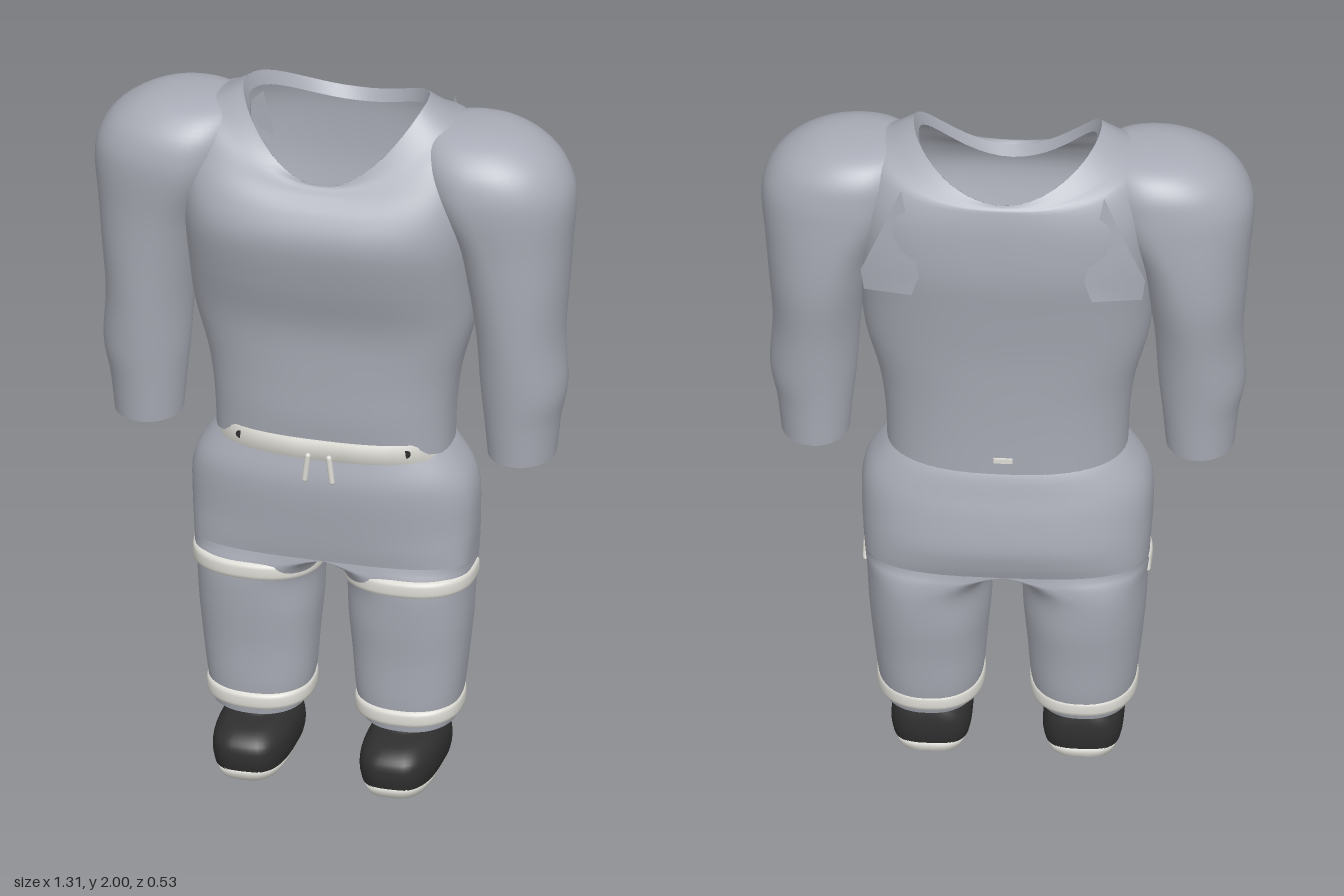
import * as THREE from 'three';

const mat = (name, color, side = THREE.DoubleSide) => {
  const m = new THREE.MeshStandardMaterial({ color, side });
  m.name = name;
  return m;
};

// Ring: [y, xInner, xCentre, xOuter, zBack, zFront, squareness, frontDrop, backDrop], listed bottom to top
function loft(rings, { steps = 4, seg = 48, from = 0, to = Math.PI * 2 } = {}) {
  const closed = to - from > 6.28;
  const cols = closed ? seg : seg + 1;
  const at = (i) => rings[Math.max(0, Math.min(rings.length - 1, i))];
  const rows = [];
  for (let i = 0; i < rings.length - 1; i++) {
    for (let s = 0; s < steps; s++) {
      const t = s / steps;
      rows.push(rings[0].map((_, k) => {
        const [a, b, c, d] = [at(i - 1)[k], at(i)[k], at(i + 1)[k], at(i + 2)[k]];
        return b + 0.5 * t * (c - a + t * (2 * a - 5 * b + 4 * c - d + t * (3 * (b - c) + d - a)));
      }));
    }
  }
  rows.push(rings[rings.length - 1]);
  const pos = [], idx = [];
  rows.forEach(([y, xi, xc, xo, zb, zf, e, df, db], r) => {
    for (let j = 0; j < cols; j++) {
      const a = from + (to - from) * j / seg, c = Math.cos(a), s = Math.sin(a);
      const px = Math.abs(c) ** e, pz = Math.abs(s) ** e;
      pos.push(
        c > 0 ? xc + (xo - xc) * px : xc - (xc - xi) * px,
        y - (s > 0 ? df : db) * s * s,
        (s > 0 ? zf : zb) * pz);
      if (r < rows.length - 1 && (closed || j < seg)) {
        const k = r * cols, n = (j + 1) % cols;
        idx.push(k + j, k + cols + j, k + n, k + n, k + cols + j, k + cols + n);
      }
    }
  });
  const g = new THREE.BufferGeometry();
  g.setAttribute('position', new THREE.Float32BufferAttribute(pos, 3));
  g.setIndex(idx);
  g.computeVertexNormals();
  return g;
}

// Ring symmetric about x = 0
const sym = (y, rx, zb, zf, e = 0.8, df = 0, db = 0) => [y, -rx, 0, rx, zb, zf, e, df, db];
// Ring around an off-centre limb
const limb = (y, xi, xo, zb, zf, e = 0.85, df = 0, db = 0) => [y, xi, (xi + xo) / 2, xo, zb, zf, e, df, db];
// Shoulder ring, widest at xc so that it runs smoothly into the chest
const shoulder = (y, xi, xc, xo, zb, zf) => [y, xi, xc, xo, zb, zf, 0.95, 0, 0];
// Raised strip of trim following a limb
const trim = (y0, y1, xi, xo, zb, zf, out, df = 0, opts = {}) => {
  const ring = (t, g) => limb(y0 + (y1 - y0) * t, xi - g, xo + g, zb - g, zf + g, 0.85, df);
  return loft([ring(0, -0.004), ring(0.1, out * 0.8), ring(0.5, out), ring(0.9, out * 0.8), ring(1, -0.004)], { steps: 2, ...opts });
};

export function createModel() {
  const root = new THREE.Group();
  root.name = 'outfit';
  const cloth = mat('grey cloth', 0xa9acb6);
  const white = mat('off-white trim', 0xdddcd5);
  const black = mat('black leather', 0x2f2f2f);
  const add = (parent, name, geo, material) => {
    const m = new THREE.Mesh(geo, material);
    m.name = name;
    parent.add(m);
    return m;
  };

  // Shirt body, open at the hem and the scooped neck
  add(root, 'shirtBody', loft([
    sym(0.982, 0.32, -0.19, 0.162, 0.8, -0.045, 0),
    sym(1.1, 0.325, -0.195, 0.17),
    sym(1.22, 0.342, -0.203, 0.175),
    sym(1.37, 0.38, -0.217, 0.188, 0.77),
    sym(1.52, 0.392, -0.24, 0.235, 0.73),
    sym(1.66, 0.4, -0.262, 0.266, 0.7),
    sym(1.8, 0.4, -0.262, 0.24, 0.7, 0.06, 0),
    sym(1.92, 0.37, -0.252, 0.205, 0.8, 0.14, 0.05),
    sym(1.955, 0.315, -0.245, 0.187, 0.92, 0.15, 0.07),
    sym(2.0, 0.25, -0.235, 0.172, 1, 0.2, 0.11),
  ], { seg: 64 }), cloth);

  // Collar facing, turned slightly inward
  add(root, 'collarFacing', loft([
    sym(1.96, 0.237, -0.215, 0.157, 1, 0.19, 0.1),
    sym(2.0, 0.25, -0.235, 0.172, 1, 0.2, 0.11),
  ], { steps: 1 }), cloth);

  // Seat of the trousers down to the crotch line
  add(root, 'trouserHips', loft([
    sym(0.66, 0.379, -0.212, 0.143, 0.62),
    sym(0.7, 0.382, -0.225, 0.15, 0.68),
    sym(0.76, 0.386, -0.235, 0.158, 0.76),
    sym(0.85, 0.387, -0.224, 0.168),
    sym(0.91, 0.372, -0.21, 0.168),
    sym(0.97, 0.335, -0.195, 0.155),
    sym(1.01, 0.305, -0.175, 0.145),
  ]), cloth);

  // Waistband, covered by the shirt hem at the sides and back
  add(root, 'waistband', loft([
    sym(0.974, 0.31, -0.18, 0.15),
    sym(0.978, 0.315, -0.185, 0.174),
    sym(1.03, 0.306, -0.178, 0.174),
    sym(1.034, 0.3, -0.17, 0.15),
  ], { steps: 1 }), white);
  add(root, 'backTab', new THREE.BoxGeometry(0.05, 0.014, 0.009), white).position.set(0, 1.03, -0.194);

  const sides = [['left', 1], ['right', -1]];
  for (const [label, s] of sides) {
    const side = new THREE.Group();
    side.name = label + 'Side';
    side.scale.x = s;
    root.add(side);

    // Sleeve with a rounded shoulder
    add(side, 'sleeve', loft([
      limb(0.99, 0.42, 0.602, -0.105, 0.105, 1),
      limb(1.1, 0.41, 0.614, -0.115, 0.117, 1),
      limb(1.2, 0.4, 0.632, -0.128, 0.13, 1),
      limb(1.35, 0.39, 0.625, -0.15, 0.146, 1),
      shoulder(1.5, 0.37, 0.49, 0.635, -0.178, 0.16),
      shoulder(1.63, 0.34, 0.46, 0.645, -0.19, 0.173),
      shoulder(1.75, 0.28, 0.42, 0.655, -0.193, 0.19),
      shoulder(1.82, 0.25, 0.41, 0.642, -0.189, 0.189),
      shoulder(1.88, 0.24, 0.4, 0.602, -0.177, 0.168),
      shoulder(1.925, 0.25, 0.39, 0.535, -0.14, 0.122),
      shoulder(1.946, 0.29, 0.38, 0.46, -0.08, 0.065),
      shoulder(1.952, 0.37, 0.37, 0.37, 0, 0),
    ]), cloth);

    // Folded flap behind the armhole
    const flap = new THREE.BufferGeometry();
    flap.setAttribute('position', new THREE.Float32BufferAttribute([
      0.27, 1.91, -0.212, 0.22, 1.66, -0.252, 0.24, 1.6, -0.252,
      0.37, 1.57, -0.19, 0.378, 1.64, -0.2, 0.33, 1.76, -0.213], 3));
    flap.setIndex([0, 5, 1, 1, 5, 4, 1, 4, 3, 1, 3, 2]);
    flap.computeVertexNormals();
    add(side, 'backFlap', flap, cloth);

    // Trouser leg; its top is a half ring that meets the other leg at x = 0
    add(side, 'trouserLeg', loft([
      limb(0.17, 0.08, 0.33, -0.155, 0.112, 0.85, 0.01),
      limb(0.24, 0.062, 0.344, -0.174, 0.122),
      limb(0.36, 0.052, 0.358, -0.19, 0.128),
      limb(0.47, 0.042, 0.368, -0.208, 0.14),
      limb(0.57, 0.038, 0.373, -0.216, 0.148),
      [0.62, 0.028, 0.15, 0.377, -0.216, 0.148, 0.75, 0, 0],
      [0.645, 0.014, 0.07, 0.378, -0.213, 0.145, 0.68, 0, 0],
      [0.66, 0, 0, 0.379, -0.212, 0.143, 0.62, 0, 0],
    ]), cloth);
    add(side, 'kneeBand', trim(0.582, 0.63, 0.038, 0.375, -0.216, 0.15, 0.009, 0, { from: -0.15, to: Math.PI + 0.15 }), white);
    add(side, 'cuff', trim(0.187, 0.234, 0.068, 0.338, -0.164, 0.122, 0.009, 0.008), white);

    // Shoe: black upper open at the ankle, on a pale sole
    add(side, 'shoeUpper', loft([
      limb(0.042, 0.1, 0.302, -0.115, 0.225, 0.65),
      limb(0.075, 0.094, 0.308, -0.12, 0.23, 0.65),
      limb(0.115, 0.099, 0.304, -0.118, 0.222, 0.65),
      limb(0.145, 0.118, 0.286, -0.112, 0.18, 0.75),
      limb(0.16, 0.135, 0.268, -0.106, 0.105, 0.9),
      limb(0.2, 0.138, 0.265, -0.105, 0.095, 0.95),
    ]), black);
    add(side, 'shoeSole', loft([
      limb(0, 0.2, 0.2, 0, 0, 0.65),
      limb(0, 0.135, 0.267, -0.09, 0.185, 0.65),
      limb(0.012, 0.113, 0.289, -0.106, 0.212, 0.65),
      limb(0.044, 0.101, 0.301, -0.116, 0.226, 0.65),
      limb(0.046, 0.2, 0.2, 0, 0, 0.65),
    ], { steps: 1 }), white);

    const eyelet = add(side, 'eyelet', new THREE.CylinderGeometry(0.011, 0.011, 0.006, 12), black);
    eyelet.rotation.x = Math.PI / 2;
    eyelet.position.set(0.228, 1.006, 0.133);
    const cord = add(side, 'drawstring', new THREE.CapsuleGeometry(0.008, 0.07, 4, 10), white);
    cord.position.set(0.033, 0.958, 0.184);
    cord.rotation.z = 0.12;
  }
  return root;
}
